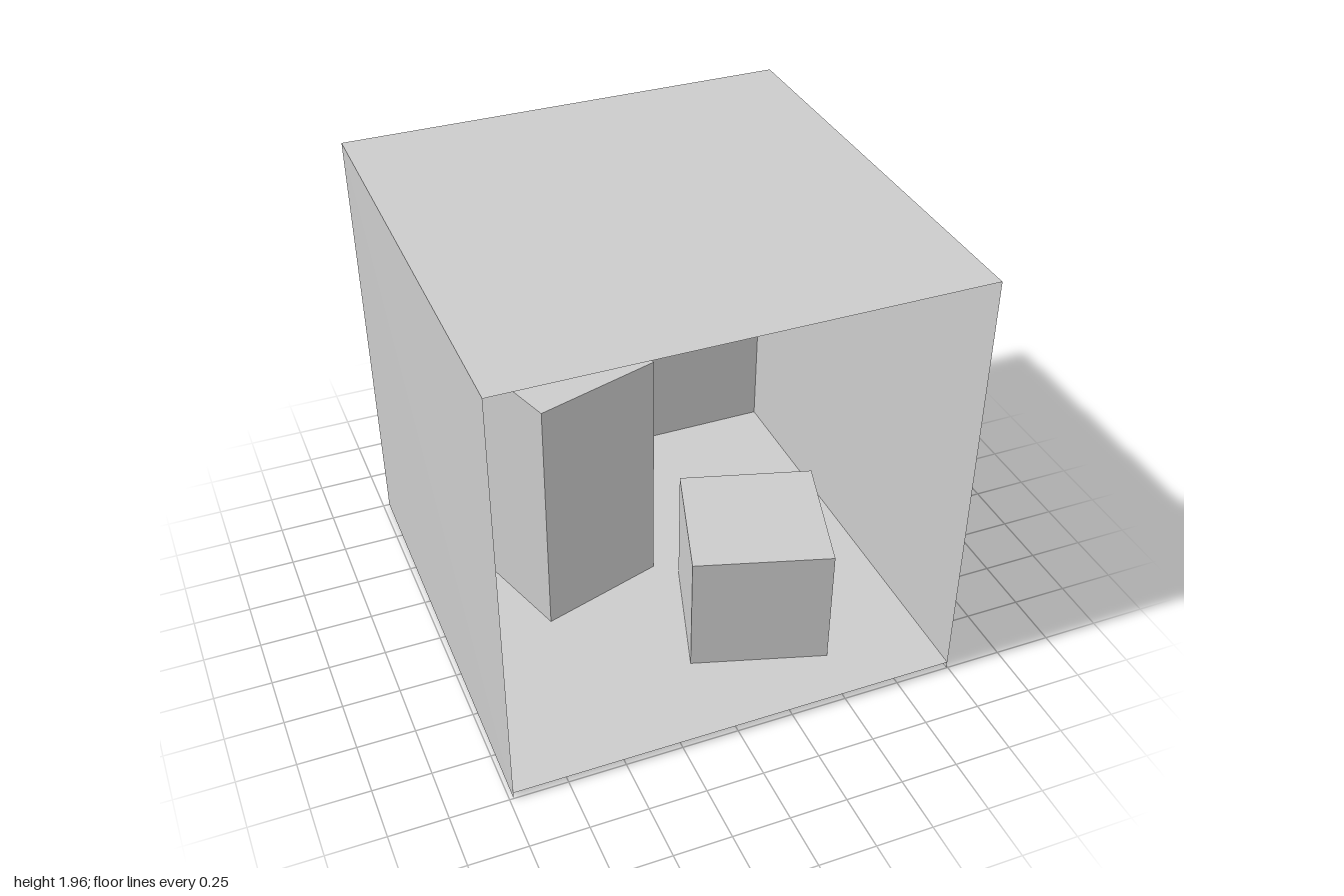
import * as THREE from 'three';
import { mergeGeometries } from 'three/addons/utils/BufferGeometryUtils.js';

const material = new THREE.MeshStandardMaterial({ color: 0xcccccc, side: THREE.DoubleSide });

// Flat four-cornered panel, corners counter-clockwise seen from its front.
function quad(a, b, c, d) {
  const geometry = new THREE.BufferGeometry();
  const corners = [a, b, c, a, c, d].flat();
  geometry.setAttribute('position', new THREE.Float32BufferAttribute(corners, 3));
  geometry.computeVertexNormals();
  return geometry;
}

function part(name, geometry) {
  const mesh = new THREE.Mesh(geometry, material);
  mesh.name = name;
  return mesh;
}

// Open-bottomed block standing on a four-cornered [x, z] footprint.
function block(name, footprint, height) {
  const at = (i, y) => [footprint[i % 4][0], y, footprint[i % 4][1]];
  const panels = [quad(at(0, height), at(1, height), at(2, height), at(3, height))];
  for (let i = 0; i < 4; i++) {
    panels.push(quad(at(i, 0), at(i + 1, 0), at(i + 1, height), at(i, height)));
  }
  return part(name, mergeGeometries(panels));
}

export function createModel() {
  const room = new THREE.Group();
  room.name = 'roomWithBlocks';

  const top = 1.963;
  const floorY = 0.033;
  const side = 0.994;
  // The right wall leans slightly inward towards its foot.
  const footFront = -0.983;
  const footBack = -0.971;

  room.add(
    part('floor', quad([footFront, floorY, 1], [side, floorY, 1], [side, floorY, -1], [footBack, floorY, -1])),
    part('ceiling', quad([-side, top, -1], [side, top, -1], [side, top, 1], [-side, top, 1])),
    part('backWall', quad([footBack, 0, -1], [side, 0, -1], [side, top, -1], [-side, top, -1])),
    part('leftWall', quad([side, 0, -1], [side, 0, 1], [side, top, 1], [side, top, -1])),
    part('rightWall', quad([footFront, 0, 1], [footBack, 0, -1], [-side, top, -1], [-side, top, 1]))
  );

  // Two turned blocks, reaching slightly below the floor
  room.add(
    block('shortBlock', [[0.529, 0.768], [0.701, 0.195], [0.136, 0.027], [-0.043, 0.592]], 0.59),
    block('tallBlock', [[-0.519, 0.117], [0.046, -0.059], [-0.129, -0.631], [-0.694, -0.452]], 1.18)
  );
  return room;
}
